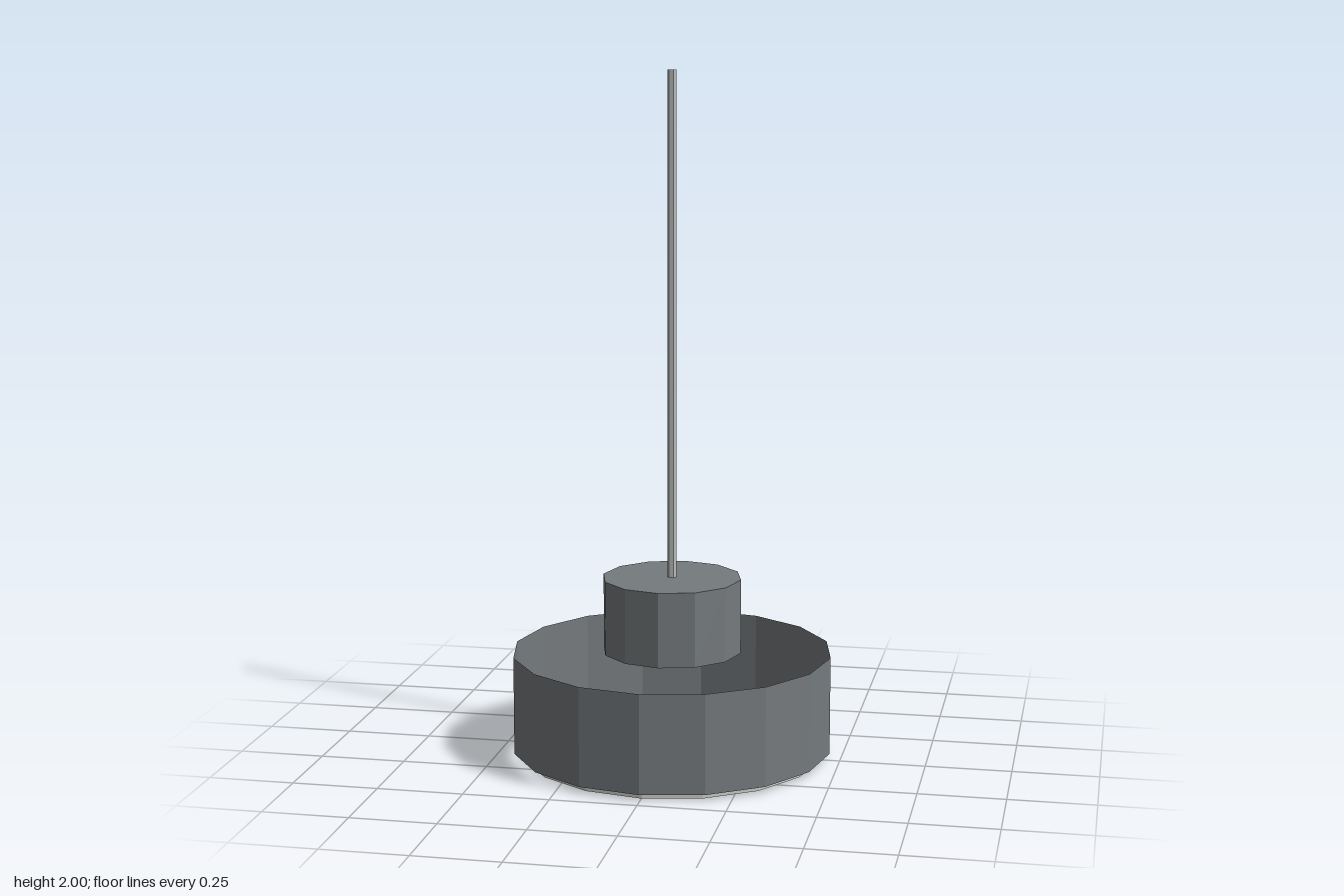
import * as THREE from 'three';

export function createModel() {
  const model = new THREE.Group();
  model.name = 'pendantLamp';

  const material = (name, color, side = THREE.FrontSide) =>
    new THREE.MeshStandardMaterial({ name, color, side, flatShading: true });
  const darkGrey = material('dark grey metal', 0x757a7d, THREE.DoubleSide);
  const paleGrey = material('pale diffuser', 0xcacac5);
  const steel = material('light steel', 0xb9bcbc);

  // Upright cylinder spanning y0..y1
  const addCylinder = (name, radius, y0, y1, sides, mat, open = false, turn = 0) => {
    const geometry = new THREE.CylinderGeometry(radius, radius, y1 - y0, sides, 1, open);
    const mesh = new THREE.Mesh(geometry, mat);
    mesh.name = name;
    mesh.position.y = (y0 + y1) / 2;
    mesh.rotation.y = turn;
    model.add(mesh);
  };

  // Diffuser disc sits just below the thin, open-ended shade
  addCylinder('diffuserDisc', 0.44, 0, 0.02, 16, paleGrey);
  addCylinder('shadeRing', 0.47, 0.02, 0.31, 16, darkGrey, true);

  // Closed lamp housing and the slim suspension rod
  addCylinder('housing', 0.205, 0.31, 0.53, 12, darkGrey);
  addCylinder('suspensionRod', 0.0135, 0.53, 2, 6, steel, false, Math.PI / 6);

  return model;
}
